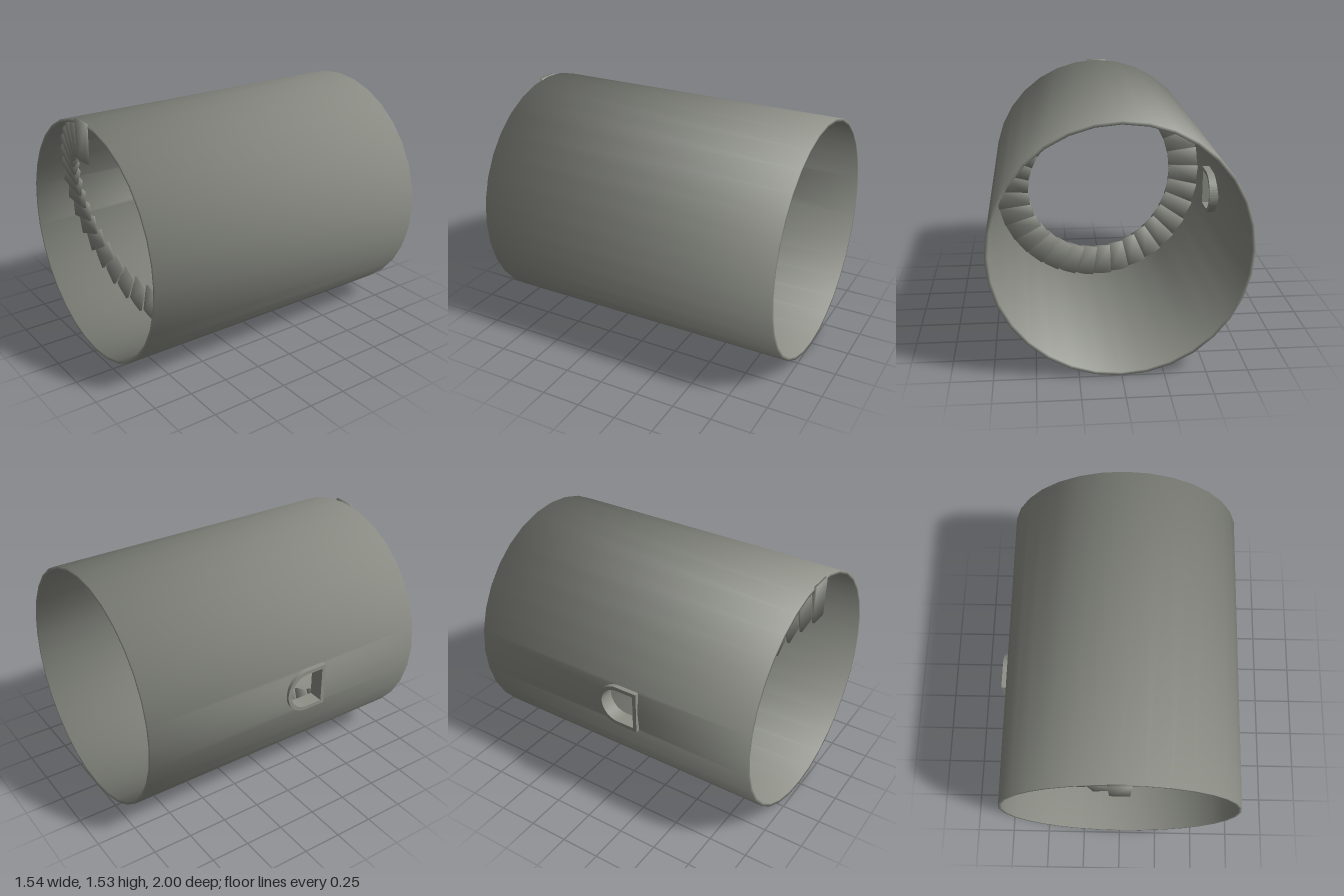
import * as THREE from 'three';
import { mergeVertices } from 'three/addons/utils/BufferGeometryUtils.js';

const CX = 0.005, CY = 0.77;          // tube axis
const R_OUT = 0.765, R_IN = 0.745;    // wall radii
const Z_BACK = -1, Z_FRONT = 0.985;
const SIDES = 32;
const DOOR_Z = 0.09, DOOR_R = 0.14, DOOR_BASE = 0.23;

// Point on the faceted wall; f counts facets from +x
function wallPoint(f, r, z) {
  const i = Math.floor(f), a = (i / SIDES) * Math.PI * 2, b = ((i + 1) / SIDES) * Math.PI * 2;
  const t = f - i;
  return new THREE.Vector3(
    CX + r * THREE.MathUtils.lerp(Math.cos(a), Math.cos(b), t),
    CY + r * THREE.MathUtils.lerp(Math.sin(a), Math.sin(b), t), z);
}

// Soft normal: radial, tilted outward at the two rims
function wallNormal(f, r, z) {
  const a = (f / SIDES) * Math.PI * 2, s = r === R_OUT ? 1 : -1;
  const end = z > Z_FRONT - 1e-4 ? 1 : z < Z_BACK + 1e-4 ? -1 : 0;
  return new THREE.Vector3(s * Math.cos(a), s * Math.sin(a), end).normalize();
}

// Arch outline in (z, y): straight base at +z, round end at -z
function arch(PathType, r, base) {
  const p = new PathType();
  p.moveTo(base, -r);
  p.lineTo(base, r);
  p.lineTo(DOOR_Z, r);
  p.absarc(DOOR_Z, 0, r, Math.PI / 2, Math.PI * 1.5, false);
  p.closePath();
  return p;
}

function wallGeometry() {
  const pos = [], nor = [];
  const tri = (...v) => {
    let p = v.map((q) => wallPoint(...q)), n = v.map((q) => wallNormal(...q));
    const face = p[1].clone().sub(p[0]).cross(p[2].clone().sub(p[0]));
    const want = n[0].clone().add(n[1]).add(n[2]);
    if (face.dot(want) < 0) { p = [p[0], p[2], p[1]]; n = [n[0], n[2], n[1]]; }
    p.forEach((q) => pos.push(q.x, q.y, q.z));
    n.forEach((q) => nor.push(q.x, q.y, q.z));
  };
  const quad = (a, b, c, d) => { tri(a, b, c); tri(a, c, d); };

  for (let i = 0; i < SIDES; i++) {
    // rims
    for (const z of [Z_BACK, Z_FRONT]) quad([i, R_IN, z], [i + 1, R_IN, z], [i + 1, R_OUT, z], [i, R_OUT, z]);
    // inner and outer skin, leaving out the two facets with the doorway
    if (i === SIDES / 2 || i === SIDES / 2 - 1) continue;
    for (const r of [R_IN, R_OUT]) quad([i, r, Z_BACK], [i + 1, r, Z_BACK], [i + 1, r, Z_FRONT], [i, r, Z_FRONT]);
  }

  // doorway facets: half panels with half an arch cut out
  const h = R_OUT * Math.sin((Math.PI * 2) / SIDES), cut = DOOR_R - 0.014;
  const half = new THREE.Shape();
  half.moveTo(Z_BACK, 0);
  half.lineTo(DOOR_Z - cut, 0);
  half.absarc(DOOR_Z, 0, cut, Math.PI, Math.PI / 2, true);
  half.lineTo(DOOR_BASE - 0.014, cut);
  half.lineTo(DOOR_BASE - 0.014, 0);
  half.lineTo(Z_FRONT, 0);
  half.lineTo(Z_FRONT, h);
  half.lineTo(Z_BACK, h);
  const flat = new THREE.ShapeGeometry(half, 8);
  const fp = flat.attributes.position, ix = flat.index;
  for (const s of [-1, 1]) for (const r of [R_IN, R_OUT]) {
    for (let k = 0; k < ix.count; k += 3) {
      tri(...[0, 1, 2].map((j) => {
        const v = ix.getX(k + j);
        return [SIDES / 2 + s * Math.min(1, fp.getY(v) / h), r, fp.getX(v)];
      }));
    }
  }
  const g = new THREE.BufferGeometry();
  g.setAttribute('position', new THREE.Float32BufferAttribute(pos, 3));
  g.setAttribute('normal', new THREE.Float32BufferAttribute(nor, 3));
  return g;
}

// Tapered step with soft corner normals, running radially along y
function stepGeometry(rIn, rOut) {
  let g = new THREE.BoxGeometry(0.14, rOut - rIn, 0.016);
  g.deleteAttribute('uv');
  g.deleteAttribute('normal');
  g = mergeVertices(g);
  const p = g.attributes.position, n = [];
  for (let i = 0; i < p.count; i++) {
    const v = new THREE.Vector3().fromBufferAttribute(p, i);
    const d = new THREE.Vector3(Math.sign(v.x), Math.sign(v.y), Math.sign(v.z)).normalize();
    n.push(d.x, d.y, d.z);
    if (v.y < 0) p.setX(i, v.x * 0.86);
  }
  g.setAttribute('normal', new THREE.Float32BufferAttribute(n, 3));
  g.translate(0, (rIn + rOut) / 2, 0);
  return g;
}

export function createModel() {
  const model = new THREE.Group();
  model.name = 'towerTube';
  const stone = new THREE.MeshStandardMaterial({ color: 0x8e9088 });
  stone.name = 'stone grey';

  const add = (geometry, name, parent = model) => {
    const m = new THREE.Mesh(geometry, stone);
    m.name = name;
    parent.add(m);
    return m;
  };

  add(wallGeometry(), 'wall');

  // Arched door frame passing through the wall
  const frame = arch(THREE.Shape, DOOR_R, DOOR_BASE);
  frame.holes.push(arch(THREE.Path, DOOR_R - 0.025, DOOR_BASE - 0.025));
  const frameGeo = new THREE.ExtrudeGeometry(frame, { depth: 0.095, bevelEnabled: false, curveSegments: 12 });
  frameGeo.rotateY(-Math.PI / 2);
  add(frameGeo, 'doorFrame').position.set(-0.68, CY, 0);

  // Spiral stair: one full turn, first step on top of the front rim
  const stair = new THREE.Group();
  stair.name = 'spiralStair';
  model.add(stair);
  const perTurn = 34, rise = 0.0303;
  const firstStep = stepGeometry(0.525, 0.77), step = stepGeometry(0.525, 0.752);
  for (let i = 0; i <= perTurn; i++) {
    const m = add(i ? step : firstStep, 'step' + (i + 1), stair);
    m.position.set(CX, CY, 0.992 - i * rise);
    m.rotation.z = (i / perTurn) * Math.PI * 2;
  }
  return model;
}
